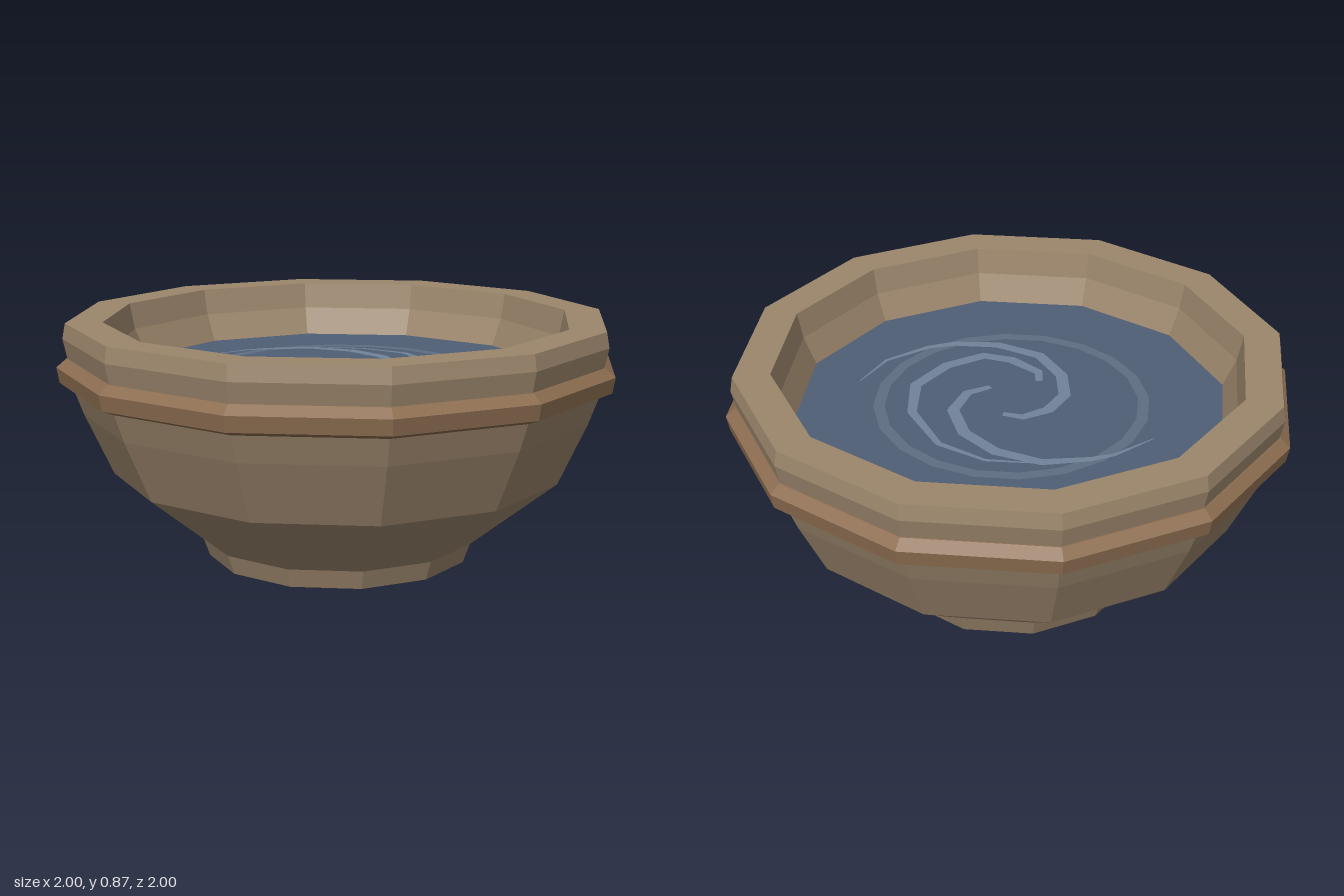
import * as THREE from 'three';

const SIDES = 12;
const WATER_Y = 0.67;

const material = (color) =>
  new THREE.MeshStandardMaterial({ color, flatShading: true, side: THREE.DoubleSide });

function lathe(name, profile, color) {
  const points = profile.map(([r, y]) => new THREE.Vector2(r, y));
  const mesh = new THREE.Mesh(new THREE.LatheGeometry(points, SIDES), material(color));
  mesh.name = name;
  return mesh;
}

// Thin flat strip along [x, z] points, widest in the middle and tapering to the ends
function swirl(name, path, color) {
  const positions = [], index = [];
  const last = path.length - 1;
  path.forEach(([x, z], i) => {
    const [ax, az] = path[Math.max(i - 1, 0)];
    const [bx, bz] = path[Math.min(i + 1, last)];
    const length = Math.hypot(bx - ax, bz - az);
    const t = i / last;
    const half = 0.002 + 0.02 * Math.min(1, 0.5 + t * 2.5, (1 - t) * 2.2);
    const nx = (-(bz - az) / length) * half, nz = ((bx - ax) / length) * half;
    positions.push(x + nx, 0, z + nz, x - nx, 0, z - nz);
    if (i < last) {
      const k = i * 2;
      index.push(k, k + 2, k + 1, k + 1, k + 2, k + 3);
    }
  });
  const geometry = new THREE.BufferGeometry();
  geometry.setAttribute('position', new THREE.Float32BufferAttribute(positions, 3));
  // Wind the strip so that it faces upward
  geometry.setIndex(index.reverse());
  geometry.computeVertexNormals();
  if (geometry.attributes.normal.getY(0) < 0) {
    geometry.setIndex(index.reverse());
    geometry.computeVertexNormals();
  }
  const mesh = new THREE.Mesh(geometry, material(color));
  mesh.name = name;
  mesh.position.y = WATER_Y + 0.009;
  return mesh;
}

export function createModel() {
  const group = new THREE.Group();
  group.name = 'waterBowl';

  // Bowl: foot, flared wall, thick rim and inner wall
  group.add(lathe('bowl', [
    [0, 0], [0.475, 0], [0.5, 0.07], [0.81, 0.32], [0.91, 0.54], [0.95, 0.65],
    [0.96, 0.74], [0.975, 0.81], [0.965, 0.865],
    [0.835, 0.865], [0.815, 0.77], [0.77, WATER_Y],
  ], 0x9c866c));

  // Raised band below the rim
  group.add(lathe('band', [
    [0.94, 0.635], [0.99, 0.655], [1, 0.71], [0.965, 0.74], [0.94, 0.74],
  ], 0x8c6d50));

  // Water surface
  const water = new THREE.Mesh(new THREE.CircleGeometry(0.775, SIDES), material(0x505f75));
  water.name = 'water';
  water.rotation.x = -Math.PI / 2;
  water.position.y = WATER_Y;
  group.add(water);

  // Faint ripple ring
  const ripple = new THREE.Mesh(new THREE.RingGeometry(0.45, 0.49, 20), material(0x5e6e82));
  ripple.name = 'rippleRing';
  ripple.rotation.x = -Math.PI / 2;
  ripple.position.y = WATER_Y + 0.004;
  group.add(ripple);

  // Three spiral currents
  const arms = [
    [[0.08, -0.05], [0.04, -0.11], [-0.06, -0.13], [-0.17, -0.09], [-0.25, 0.02], [-0.28, 0.18],
      [-0.21, 0.34], [-0.09, 0.45], [0, 0.49], [0.18, 0.51], [0.34, 0.45]],
    [[0, 0.12], [0.09, 0.14], [0.2, 0.08], [0.26, -0.06], [0.25, -0.22], [0.17, -0.37],
      [0.03, -0.46], [-0.05, -0.49], [-0.22, -0.5]],
    [[-0.16, 0.04], [-0.2, 0.09], [-0.18, 0.22], [-0.12, 0.31], [0.03, 0.34], [0.2, 0.3],
      [0.32, 0.16], [0.37, -0.06], [0.31, -0.24], [0.15, -0.4]],
  ];
  arms.forEach((path, i) => group.add(swirl(`swirl${i + 1}`, path, 0x71839a)));

  return group;
}
